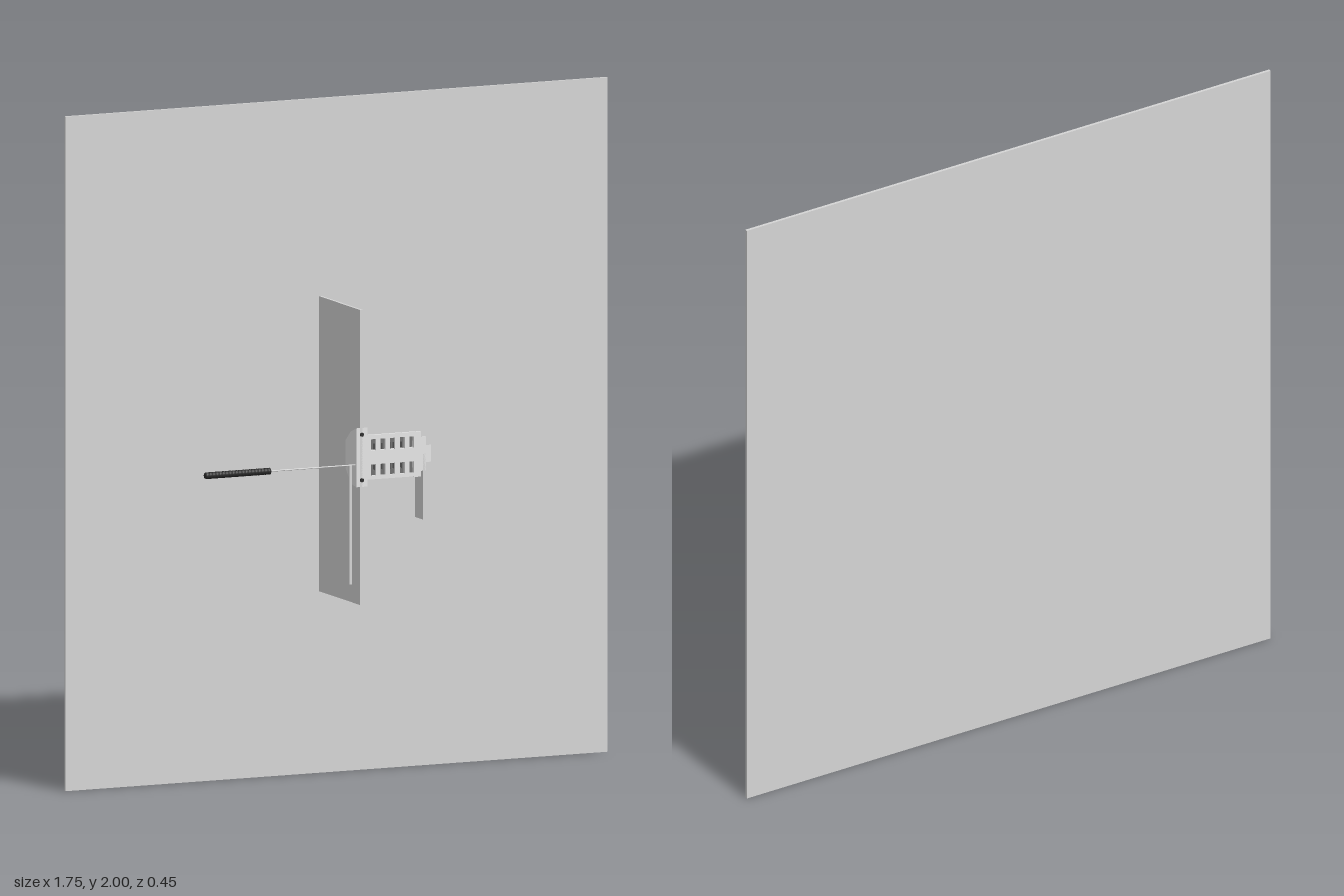
import * as THREE from 'three';

export function createModel() {
  const model = new THREE.Group();
  const paint = (name, color) => {
    const m = new THREE.MeshStandardMaterial({ color });
    m.name = name;
    return m;
  };
  const panelGrey = paint('panel grey', 0xd5d5d5);
  const lightGrey = paint('light grey', 0xe6e6e6);
  const finGrey = paint('fin grey', 0x707070);
  const gripDark = paint('grip dark', 0x2a2a2a);
  const FRONT = 0.222, AXIS_Y = 1.0;

  function add(name, geometry, material, x, y, z) {
    const mesh = new THREE.Mesh(geometry, material);
    mesh.name = name;
    mesh.position.set(x, y, z);
    model.add(mesh);
    return mesh;
  }
  // box from its extents
  const box = (name, material, x0, x1, y0, y1, z0, z1) =>
    add(name, new THREE.BoxGeometry(x1 - x0, y1 - y0, z1 - z0), material, (x0 + x1) / 2, (y0 + y1) / 2, (z0 + z1) / 2);

  // solid of a [depth behind the front, height] section, swept along x
  function sweep(name, material, shape, x0, x1, z = FRONT) {
    const g = new THREE.ExtrudeGeometry(shape, { depth: x1 - x0, bevelEnabled: false, curveSegments: 20 });
    g.rotateY(Math.PI / 2);
    return add(name, g, material, x0, AXIS_Y, z);
  }
  function halfRing(outer, inner = 0) {
    const s = new THREE.Shape();
    s.absarc(0, 0, outer, -Math.PI / 2, Math.PI / 2, false);
    if (inner) s.absarc(0, 0, inner, Math.PI / 2, -Math.PI / 2, true);
    s.closePath();
    return s;
  }
  const polygon = (points) => new THREE.Shape(points.map(([a, b]) => new THREE.Vector2(a, b)));
  const rectangle = (x0, x1, y0, y1) => [[x0, y0], [x1, y0], [x1, y1], [x0, y1]];

  // large wall and upright dividing plate
  box('wallPanel', panelGrey, -0.875, 0.875, 0, 2, -0.225, -0.217);
  box('dividingPlate', panelGrey, -0.128, -0.12, 0.565, 1.44, -0.065, FRONT);

  // mounting flange with bolts
  sweep('mountingFlange', lightGrey,
    polygon([[0, -0.085], [0.04, -0.08], [0.075, -0.04], [0.075, 0.045], [0.04, 0.075], [0, 0.09]]), -0.14, -0.105);
  for (const y of [0.935, 1.07]) {
    const bolt = add('flangeBolt', new THREE.CylinderGeometry(0.006, 0.006, 0.006, 12), gripDark, -0.123, y, FRONT);
    bolt.rotation.x = Math.PI / 2;
  }

  // half barrel: core, shell and stacked fins set just behind the section face
  const inner = FRONT - 0.008;
  sweep('barrelCore', lightGrey, halfRing(0.022), -0.105, 0.06, inner);
  sweep('barrelShell', finGrey, halfRing(0.054, 0.04), -0.105, 0.045, inner);
  for (let i = 0; i < 12; i++) {
    const x = -0.102 + i * 0.0125;
    sweep('barrelFin', finGrey, halfRing(0.062, 0.02), x, x + 0.007, inner);
  }

  // section face with two rows of slots
  const face = polygon(rectangle(-0.105, 0.06, -0.065, 0.067));
  for (let i = 0; i < 5; i++) {
    const x = -0.085 + i * 0.031;
    for (const y of [-0.037, 0.037]) {
      face.holes.push(polygon(rectangle(x - 0.008, x + 0.008, y - 0.017, y + 0.017)));
    }
  }
  add('sectionFace', new THREE.ExtrudeGeometry(face, { depth: 0.008, bevelEnabled: false }), lightGrey, 0, AXIS_Y, inner);

  // end cap, collar and rounded nose
  sweep('endCap', lightGrey, halfRing(0.067), 0.045, 0.068);
  sweep('endCollar', lightGrey, halfRing(0.05), 0.068, 0.085);
  sweep('endNose', lightGrey, halfRing(0.025), 0.085, 0.1);

  // hanging plates
  box('endPlate', panelGrey, 0.075, 0.083, 0.805, 1.0, 0.165, FRONT);
  box('hangingRod', panelGrey, -0.159, -0.151, 0.627, 0.98, 0.209, 0.216);

  // handle rod with a dark ribbed grip
  const rod = add('handleRod', new THREE.CylinderGeometry(0.002, 0.002, 0.3, 12), panelGrey, -0.28, 0.98, 0.213);
  rod.rotation.z = Math.PI / 2;
  const profile = [new THREE.Vector2(0, -0.105)];
  for (let i = 0; i < 20; i++) {
    const a = -0.105 + i * 0.0105;
    profile.push(new THREE.Vector2(0.01, a), new THREE.Vector2(0.01, a + 0.007),
      new THREE.Vector2(0.008, a + 0.007), new THREE.Vector2(0.008, a + 0.0105));
  }
  profile.push(new THREE.Vector2(0, 0.105));
  const grip = add('handleGrip', new THREE.LatheGeometry(profile, 16), gripDark, -0.52, 0.98, 0.212);
  grip.rotation.z = Math.PI / 2;

  return model;
}
